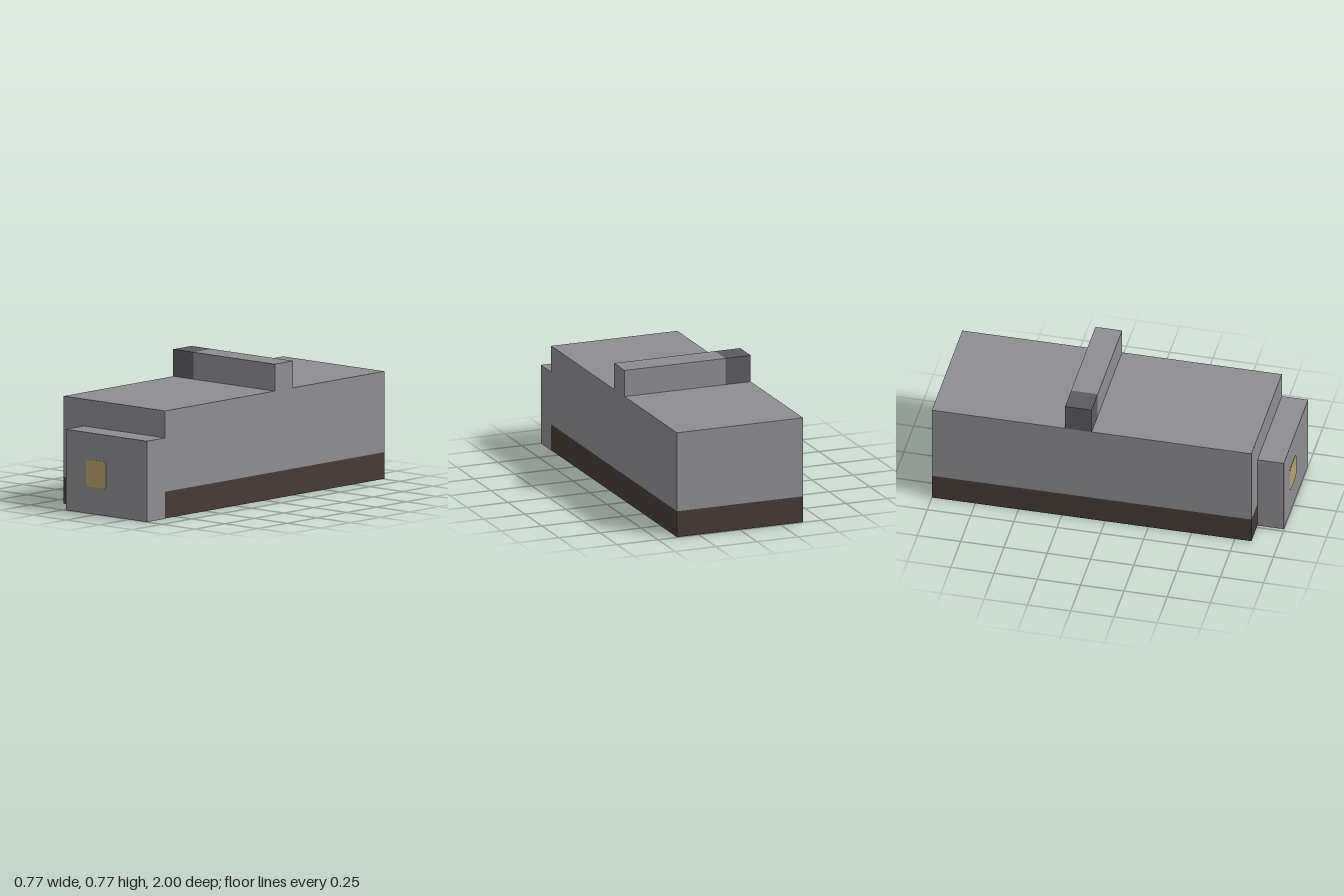
import * as THREE from 'three';

const U = 2 / 13; // one block
const T = 0.002;  // plate thickness

function material(name, color) {
  const m = new THREE.MeshStandardMaterial({ color });
  m.name = name;
  return m;
}

// Box given by its lower and upper corners
function box(name, mat, [x0, y0, z0], [x1, y1, z1]) {
  const mesh = new THREE.Mesh(new THREE.BoxGeometry(x1 - x0, y1 - y0, z1 - z0), mat);
  mesh.name = name;
  mesh.position.set((x0 + x1) / 2, (y0 + y1) / 2, (z0 + z1) / 2);
  return mesh;
}

// Thin plate with clipped corners, lying in xy and growing towards +z
function plate(name, mat, w, h, c = 0.013) {
  const a = w / 2, b = h / 2;
  const outline = [[-a + c, -b], [a - c, -b], [a, -b + c], [a, b - c],
    [a - c, b], [-a + c, b], [-a, b - c], [-a, -b + c]];
  const shape = new THREE.Shape(outline.map(([x, y]) => new THREE.Vector2(x, y)));
  const mesh = new THREE.Mesh(new THREE.ExtrudeGeometry(shape, { depth: T, bevelEnabled: false }), mat);
  mesh.name = name;
  return mesh;
}

export function createModel() {
  const grey = material('grey', 0x8e8d92);
  const darkGrey = material('dark grey', 0x5d5b60);
  const brown = material('dark brown', 0x473a34);
  const yellow = material('dull yellow', 0xb5a469);

  const W = 2.5 * U, front = 1 - U;
  const group = new THREE.Group();
  group.name = 'blockModel';

  // Main body over its brown base
  group.add(box('base', brown, [-W, T, -1], [W, U, front]));
  group.add(box('body', grey, [-W, U, -1], [W, 4 * U, front]));

  // Offset front block
  group.add(box('frontBlock', grey, [-1.5 * U, 0, front], [W, 3 * U, 1 - T]));

  // Crossbar on top with a dark right end
  group.add(box('crossbar', grey, [-1.5 * U, 4 * U, -1.5 * U], [W, 5 * U, -0.5 * U]));
  group.add(box('crossbarEnd', darkGrey, [-W, 4 * U, -1.5 * U], [-1.5 * U, 5 * U, -0.5 * U]));

  // Yellow front spot
  const spot = plate('frontSpot', yellow, U, U);
  spot.position.set(0, 1.5 * U, 1 - T);
  group.add(spot);

  // Grey patch under the base, behind the front block
  const patch = plate('undersidePatch', grey, 3 * U, U);
  patch.rotation.x = Math.PI / 2;
  patch.position.set(0, T, front - U / 2);
  group.add(patch);

  return group;
}
